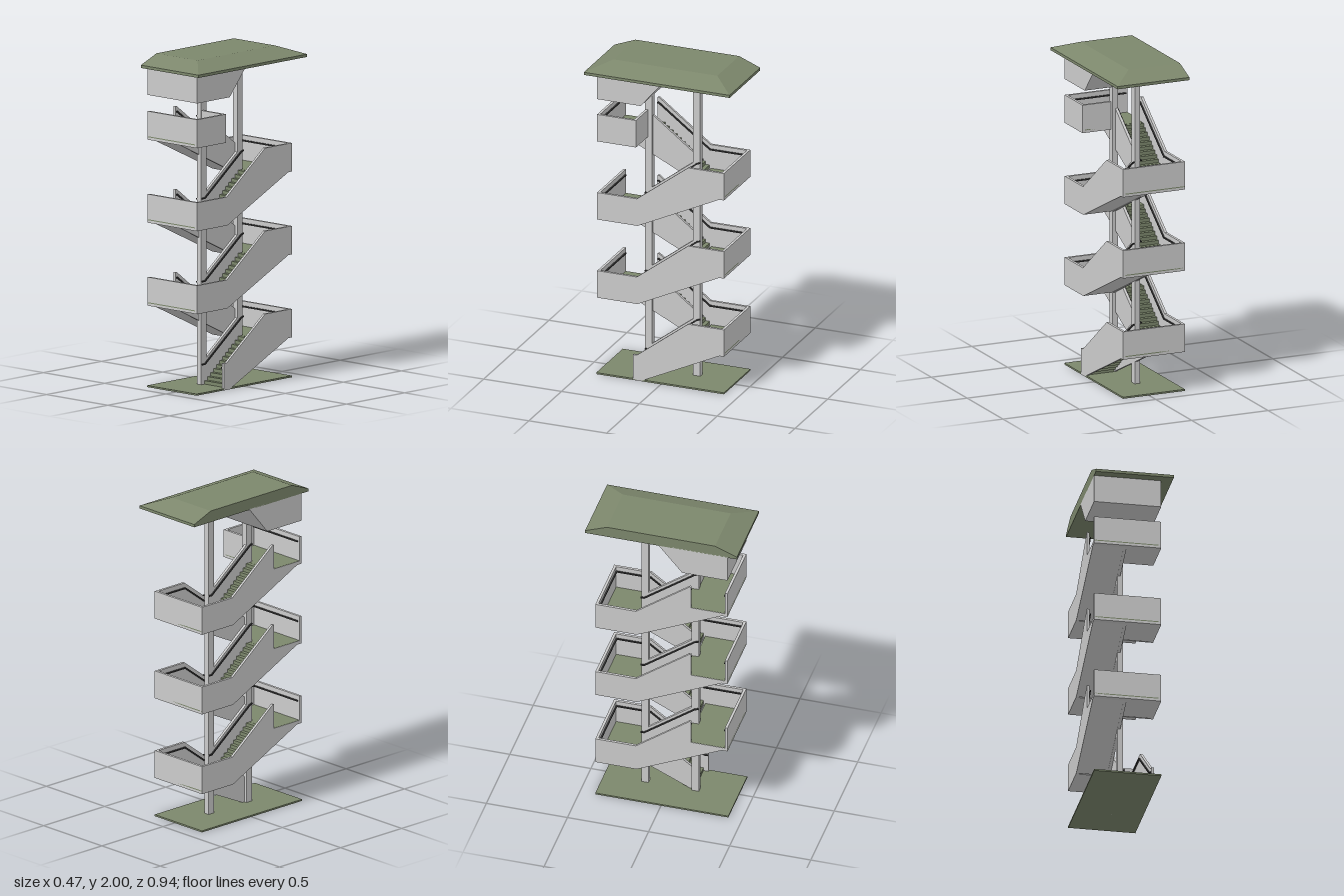
import * as THREE from 'three';

const grey = new THREE.MeshStandardMaterial({ color: 0xcccccc, flatShading: true });
const green = new THREE.MeshStandardMaterial({ color: 0x7c876c, flatShading: true });
const dark = new THREE.MeshStandardMaterial({ color: 0x383838, flatShading: true });

// overall plan limits
const XL = -0.235, XR = 0.17, ZF = 0.41, ZB = -0.405;
const XI = -0.05, XO = -0.015; // sides of the central spine
const T = 0.016, RISE = 0.25, STEPS = 12;

export function createModel() {
  const model = new THREE.Group();

  const add = (parent, name, geometry, material) => {
    const mesh = new THREE.Mesh(geometry, material);
    mesh.name = name;
    parent.add(mesh);
    return mesh;
  };

  // box given by its limits
  const box = (parent, name, x0, x1, y0, y1, z0, z1, material) =>
    add(parent, name, new THREE.BoxGeometry(x1 - x0, y1 - y0, z1 - z0)
      .translate((x0 + x1) / 2, (y0 + y1) / 2, (z0 + z1) / 2), material);

  // side profile of [z, y] points, extruded from x0 to x1
  const panel = (parent, name, pts, x0, x1, material = grey) => {
    const shape = new THREE.Shape(pts.map(([z, y]) => new THREE.Vector2(-z, y)));
    const g = new THREE.ExtrudeGeometry(shape, { depth: x1 - x0, bevelEnabled: false });
    return add(parent, name, g.rotateY(Math.PI / 2).translate(x0, 0, 0), material);
  };

  // thin handrail through a list of points
  const rail = (parent, name, pts) => {
    for (let i = 0; i + 1 < pts.length; i++) {
      const a = new THREE.Vector3(...pts[i]), b = new THREE.Vector3(...pts[i + 1]);
      const m = add(parent, name, new THREE.BoxGeometry(0.008, 0.008, a.distanceTo(b) + 0.006), dark);
      m.position.copy(a).add(b).multiplyScalar(0.5);
      m.lookAt(b);
    }
  };

  // one flight: right flights climb to the back, left flights climb to the front
  const flight = (right, y, first) => {
    const g = new THREE.Group();
    g.name = right ? 'rightFlight' : 'leftFlight';
    model.add(g);
    const s = right ? 1 : -1;
    const P = pts => pts.map(([z, h]) => [s * z, y + h]);
    const [x0, x1] = right ? [XO, XR] : [XL, XI];
    const start = right ? ZF : -ZB, end = right ? ZB : -ZF;

    // outer parapet
    const low = first ? [[0.13, 0], [0.18, 0], [0.18, 0.162]]
      : [[0.15, -0.01], [start, -0.01], [start, 0.162]];
    const high = right ? [[end, 0.412], [end, 0.24]]
      : [[-0.185, 0.412], [-0.185, 0.26], [end, 0.26], [end, 0.24]];
    panel(g, 'outerParapet', P([...low, [0.155, 0.162], [-0.175, 0.412], ...high, [-0.375, 0.24]]),
      right ? XR - T : XL, right ? XR : XL + T);

    // inner parapet along the spine
    const mid = (XI + XO) / 2;
    panel(g, 'innerParapet', P([[0.14, first ? 0 : -0.01], [0.155, 0.155], [-0.15, 0.386],
      [-0.15, 0.25], [-0.375, 0.25], [-0.375, 0.24]]), right ? mid : XI, right ? XO : mid);

    // sloping underside; the lowest flight is open below
    if (!first) {
      panel(g, 'soffit', P([[0.15, -0.01], [0.15, 0.004], [-0.375, 0.254], [-0.375, 0.24]]), x0, x1);
    }

    // steps
    const run = 0.31 / STEPS, h = RISE / STEPS;
    for (let i = 0; i < STEPS; i++) {
      const za = s * (0.15 - i * run), zb = s * (0.15 - (i + 1) * run - 0.006);
      box(g, 'step', x0 + (right ? 0 : T), x1 - (right ? T : 0),
        y + 0.01 + i * h, y + 0.01 + (i + 1) * h, Math.min(za, zb), Math.max(za, zb), green);
    }

    // handrails on both sides
    const R = (x, pts) => P(pts).map(([z, h2]) => [x, h2, z]);
    const stop = right ? end + T + 0.004 : -0.18;
    rail(g, 'outerHandrail', R(right ? XR - T - 0.005 : XL + T + 0.005,
      [[first ? 0.175 : start - T - 0.004, 0.132], [0.155, 0.132], [-0.175, 0.38], [stop, 0.38]]));
    rail(g, 'innerHandrail', R(right ? XO + 0.006 : XI - 0.006,
      [[0.175, 0.132], [0.155, 0.132], [-0.155, 0.367], [-0.175, 0.375]]));
  };

  // landing with floor, end wall and handrail
  const landing = (front, y) => {
    const g = new THREE.Group();
    g.name = front ? 'frontLanding' : 'backLanding';
    model.add(g);
    const [z0, z1] = front ? [0.16, ZF] : [ZB, -0.16];
    box(g, 'landingSlab', XL + 0.001, XR - 0.001, y - 0.01, y + 0.005, z0, z1, grey);
    box(g, 'landingFloor', XL + 0.002, XR - T, y + 0.005, y + 0.011, z0, z1, green);
    box(g, 'endWall', XL, XR, y - 0.01, y + 0.162,
      front ? ZF - T : ZB, front ? ZF : ZB + T, grey);
    const zr = front ? ZF - T - 0.004 : ZB + T + 0.004;
    rail(g, 'landingHandrail', [[XL + T, y + 0.13, zr], [XR - T, y + 0.13, zr]]);
    return g;
  };

  for (let k = 0; k < 3; k++) {
    const y = k * 0.5;
    flight(true, y, k === 0);
    landing(false, y + 0.25);
    flight(false, y + 0.25, false);
    const top = landing(true, y + 0.5);
    if (k === 2) {
      // guards closing off the topmost landing
      box(top, 'sideGuard', XR - T, XR, 1.49, 1.662, 0.16, ZF, grey);
      box(top, 'dropGuard', XO, XR, 1.49, 1.662, 0.16, 0.16 + T, grey);
    }
  }

  // columns of the central spine
  box(model, 'frontColumn', XI, XO, 0, 1.77, 0.135, 0.18, grey);
  box(model, 'backColumn', XI, XO, 0, 1.935, -0.175, -0.13, grey);

  // ground slab
  box(model, 'baseSlab', XL, XR, 0, 0.01, ZB, 0.415, green);

  // boxed canopy under the roof
  panel(model, 'canopyBox', [[ZF, 1.76], [ZF, 1.935], [-0.018, 1.935], [0.13, 1.76]], XL, XR);

  // roof: eave slab and a hipped top, upright on the building side
  box(model, 'roofEave', XL, 0.235, 1.93, 1.947, -0.468, 0.468, green);
  const hip = new THREE.BoxGeometry(0.47, 0.053, 0.936);
  const p = hip.attributes.position;
  for (let i = 0; i < p.count; i++) {
    if (p.getY(i) > 0) {
      if (p.getX(i) > 0) p.setX(i, 0.1);
      p.setZ(i, Math.sign(p.getZ(i)) * 0.333);
    }
  }
  hip.computeVertexNormals();
  add(model, 'roofTop', hip.translate(0, 1.9735, 0), green);

  return model;
}
